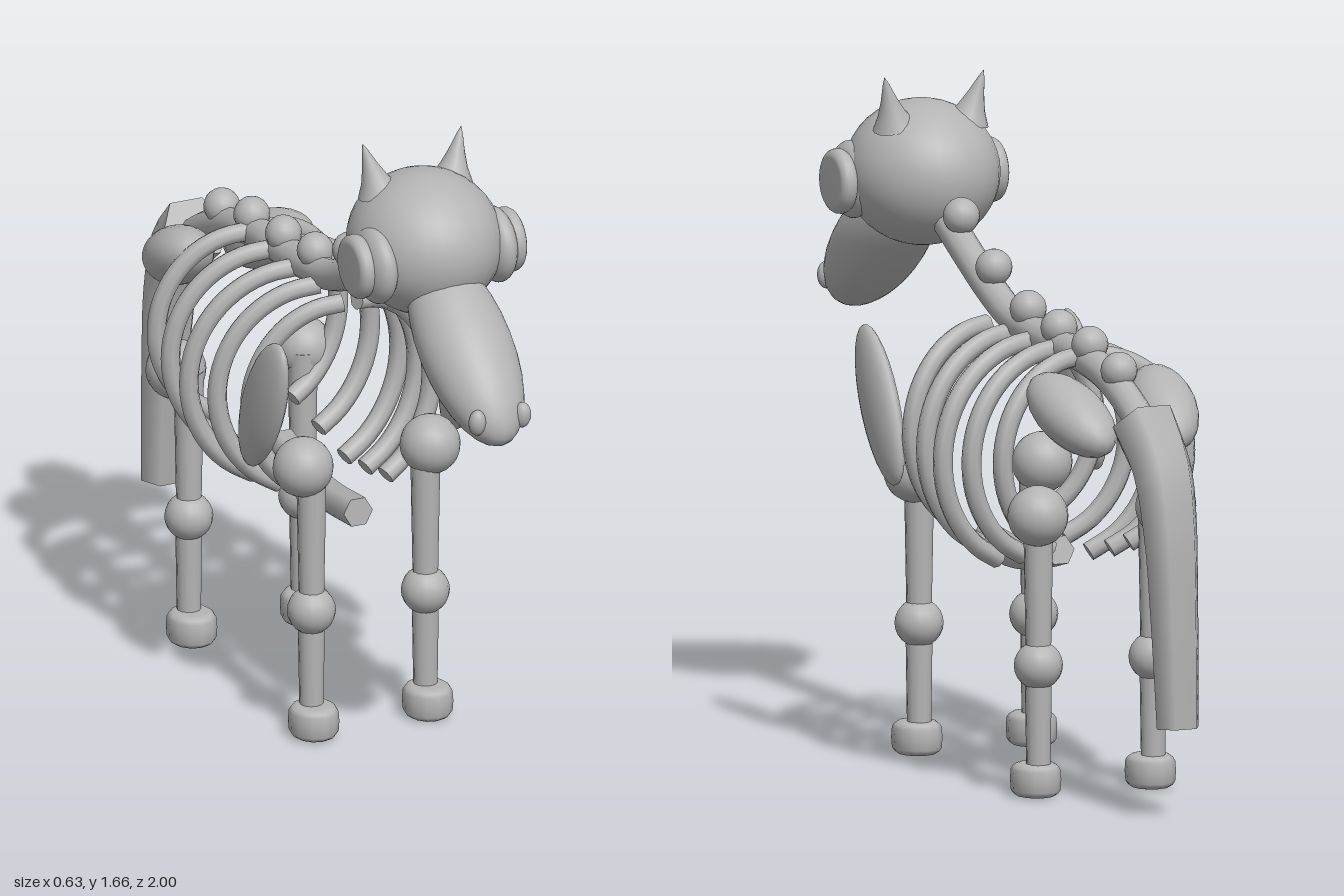
import * as THREE from 'three';
import { mergeGeometries } from 'three/addons/utils/BufferGeometryUtils.js';

const bone = new THREE.MeshStandardMaterial({ color: 0xb4b4b4 });
bone.name = 'bone grey';

const V = (x, y, z) => new THREE.Vector3(x, y, z);

function add(parent, name, geometry, pos = [0, 0, 0], rot = [0, 0, 0]) {
  const mesh = new THREE.Mesh(geometry, bone);
  mesh.name = name;
  mesh.position.set(...pos);
  mesh.rotation.set(...rot, 'YXZ');
  parent.add(mesh);
  return mesh;
}

// Sphere stretched to three half sizes
const ellipsoid = (a, b, c, w = 28, h = 20) => new THREE.SphereGeometry(1, w, h).scale(a, b, c);

// Capped tube along points, with the radius blended between the given radii
function taperedTube(points, radii, sides, steps = 20) {
  const curve = new THREE.CatmullRomCurve3(points);
  const geo = new THREE.TubeGeometry(curve, steps, 1, sides);
  geo.deleteAttribute('uv');
  const p = geo.attributes.position, v = V(0, 0, 0);
  const ringSize = sides + 1;
  for (let i = 0; i <= steps; i++) {
    const t = i / steps, c = curve.getPointAt(t);
    const f = t * (radii.length - 1), k = Math.min(Math.floor(f), radii.length - 2);
    const r = radii.length > 1 ? THREE.MathUtils.lerp(radii[k], radii[k + 1], f - k) : radii[0];
    for (let j = 0; j < ringSize; j++) {
      const n = i * ringSize + j;
      v.fromBufferAttribute(p, n).sub(c).multiplyScalar(r).add(c);
      p.setXYZ(n, v.x, v.y, v.z);
    }
  }
  const cap = (ring, flip) => {
    const pts = [], idx = [];
    for (let j = 0; j < sides; j++) pts.push(V(0, 0, 0).fromBufferAttribute(p, ring * ringSize + j));
    for (let j = 1; j < sides - 1; j++) idx.push(0, flip ? j + 1 : j, flip ? j : j + 1);
    const g = new THREE.BufferGeometry().setFromPoints(pts);
    g.setIndex(idx);
    g.computeVertexNormals();
    return g;
  };
  return mergeGeometries([geo, cap(0, false), cap(steps, true)]);
}

// Upright disc with a rounded rim, centred on its height
function roundedDisc(r, h, bevel, sides) {
  const pts = [new THREE.Vector2(0, -h / 2)];
  for (let i = 0; i <= 8; i++) {
    const a = -Math.PI / 2 + (i / 8) * Math.PI;
    const y = Math.sin(a) * bevel + (i < 4 ? -1 : i > 4 ? 1 : 0) * (h / 2 - bevel);
    pts.push(new THREE.Vector2(r - bevel + Math.cos(a) * bevel, y));
  }
  pts.push(new THREE.Vector2(0, h / 2));
  return new THREE.LatheGeometry(pts, sides);
}

export function createModel() {
  const model = new THREE.Group();
  model.name = 'skeletonHorse';

  // Head and snout
  const head = new THREE.Group();
  head.name = 'head';
  model.add(head);
  add(head, 'skull', ellipsoid(0.193, 0.183, 0.206), [0, 1.407, 0.54]);
  add(head, 'snout', ellipsoid(0.12, 0.105, 0.28), [0, 1.205, 0.775], [0.7, 0, 0]);

  // Concave pointed ear, base at the origin
  const earShape = [[0.055, 0], [0.035, 0.035], [0.02, 0.075], [0.008, 0.115], [0, 0.135]]
    .map(([r, y]) => new THREE.Vector2(r, y));

  for (const s of [1, -1]) {
    add(head, 'eyeSocket', ellipsoid(0.045, 0.097, 0.097), [s * 0.165, 1.39, 0.598]);
    add(head, 'eye', roundedDisc(0.082, 0.046, 0.022, 28), [s * 0.207, 1.39, 0.585], [0, 0, Math.PI / 2]);
    add(head, 'nostril', ellipsoid(0.022, 0.034, 0.022, 14, 10), [s * 0.062, 1.085, 0.968], [0.1, 0, 0]);
    add(head, 'ear', new THREE.LatheGeometry(earShape, 16), [s * 0.1, 1.535, 0.488], [-0.15, 0, -s * 0.27]);
  }

  // Neck and spine in one run
  const spine = [V(0, 1.35, 0.47), V(0, 1.295, 0.37), V(0, 1.23, 0.25), V(0, 1.165, 0.12), V(0, 1.12, 0),
    V(0, 1.097, -0.18), V(0, 1.085, -0.4), V(0, 1.055, -0.56), V(0, 1.0, -0.69), V(0, 0.95, -0.77)];
  add(model, 'spine', taperedTube(spine, [0.04], 12, 48));

  for (const [y, z] of [[1.33, 0.31], [1.23, 0.12], [1.157, -0.08], [1.137, -0.26], [1.122, -0.44], [1.083, -0.61]]) {
    add(model, 'vertebra', new THREE.SphereGeometry(0.046, 16, 12), [0, y, z]);
  }

  // Six-sided tapering tail
  const tail = [V(0, 0.97, -0.76), V(0, 0.869, -0.863), V(0, 0.735, -0.907), V(0, 0.51, -0.933), V(0, 0.236, -0.952)];
  add(model, 'tail', taperedTube(tail, [0.088, 0.078, 0.069, 0.063, 0.057], 6, 16));

  // Rib cage: each rib is [start z, half width, bottom y]
  const ribs = [[0.115, 0.25, 0.6], [-0.02, 0.275, 0.57], [-0.15, 0.29, 0.55], [-0.285, 0.275, 0.58], [-0.415, 0.25, 0.615]];
  for (const [z, w, bottom] of ribs) {
    for (const s of [1, -1]) {
      const path = [];
      for (let i = 0; i <= 10; i++) {
        const a = (i / 10) * 2.75;
        const out = Math.sin(a);
        const drop = (1 - Math.cos(a)) / (1 - Math.cos(2.75));
        path.push(V(s * (0.02 + (w - 0.02) * out), THREE.MathUtils.lerp(1.09, bottom, drop), z - 0.05 * out));
      }
      add(model, 'rib', taperedTube(path, [0.025], 8, 28));
    }
  }
  add(model, 'sternum', taperedTube([V(0, 0.545, 0.165), V(0, 0.532, 0), V(0, 0.545, -0.13), V(0, 0.578, -0.265)], [0.04], 6, 14));

  // Shoulder blades, hips and legs
  for (const s of [1, -1]) {
    add(model, 'shoulderBlade', ellipsoid(0.036, 0.211, 0.087, 20, 14), [s * 0.276, 0.892, 0.197], [0.49, 0, 0]);
    add(model, 'hipBone', ellipsoid(0.085, 0.075, 0.162, 20, 14), [s * 0.125, 0.978, -0.6], [-0.43, s * 0.2, 0]);

    for (const [name, jointZ, legZ, hoofZ] of [['front', 0.212, 0.222, 0.235], ['hind', -0.51, -0.474, -0.458]]) {
      const leg = new THREE.Group();
      leg.name = name + 'Leg';
      model.add(leg);
      const x = s * 0.157;
      add(leg, 'upperJoint', new THREE.SphereGeometry(0.076, 18, 14), [s * 0.175, 0.714, jointZ]);
      add(leg, 'upperLeg', taperedTube([V(x, 0.72, legZ), V(x, 0.33, legZ)], [0.038, 0.031], 12, 2));
      add(leg, 'knee', new THREE.SphereGeometry(0.061, 16, 12), [x, 0.332, legZ]);
      add(leg, 'lowerLeg', taperedTube([V(x, 0.33, legZ), V(x, 0.06, legZ)], [0.034, 0.03], 12, 2));
      add(leg, 'hoof', roundedDisc(0.066, 0.084, 0.026, 12).scale(0.95, 1, 1.04), [x, 0.043, hoofZ]);
    }
  }
  return model;
}
